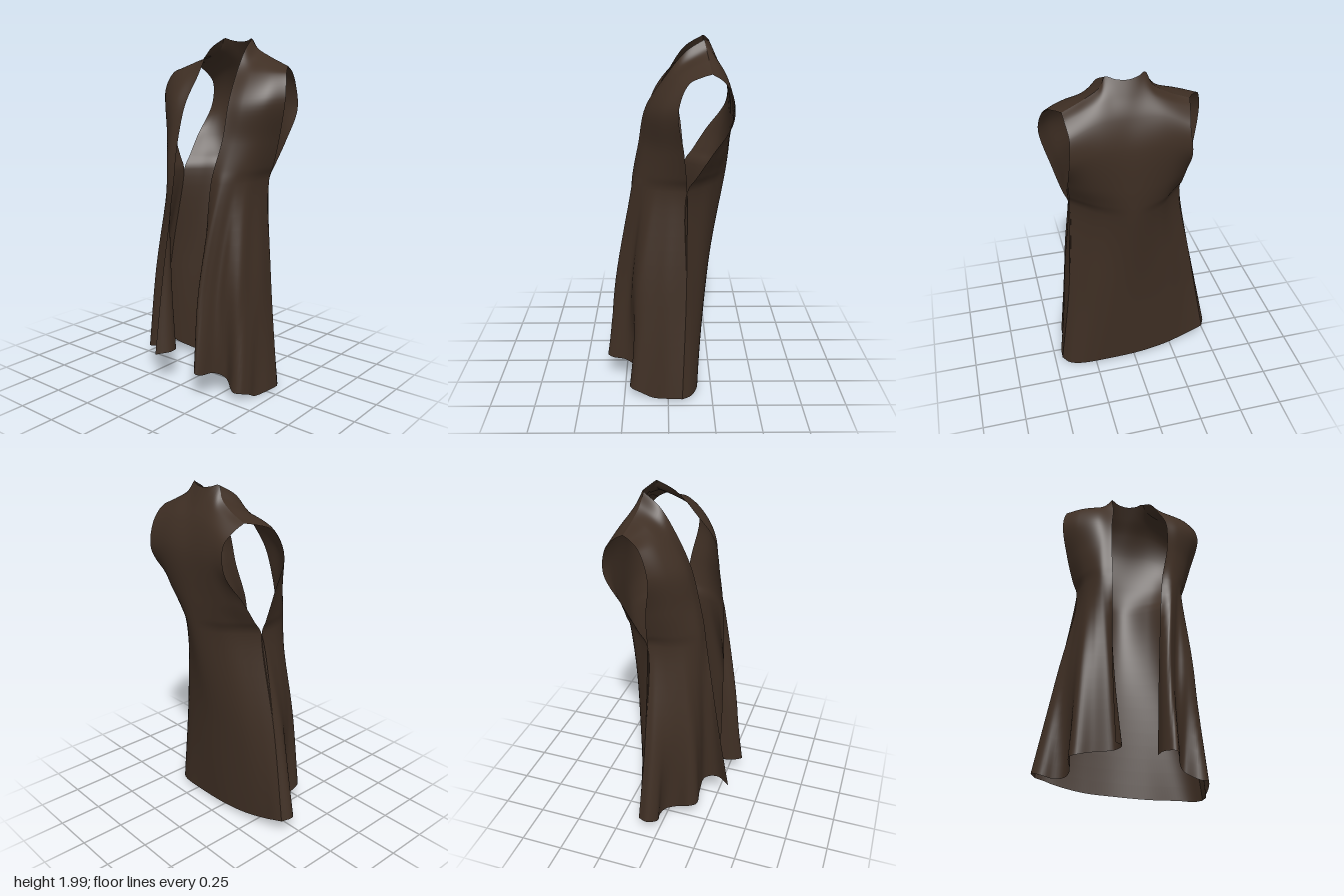
import * as THREE from 'three';

const cloth = new THREE.MeshStandardMaterial({ color: 0x3f2f24, side: THREE.DoubleSide });
cloth.name = 'dark brown cloth';

const COLS = 56, STEPS = 8;

// smooth curve through a flat list x, y, z, x, y, z ...
function curve(list) {
  const pts = [];
  for (let i = 0; i < list.length; i += 3) pts.push(new THREE.Vector3(list[i], list[i + 1], list[i + 2]));
  return new THREE.CatmullRomCurve3(pts);
}

// cloth panel draped over a stack of cross-sections, hem first, each running clockwise seen from above
function panel(name, rows) {
  const sections = rows.map(r => curve(r).getSpacedPoints(COLS));
  const down = (rows.length - 1) * STEPS, pos = [], index = [];
  for (let c = 0; c <= COLS; c++) {
    const column = new THREE.CatmullRomCurve3(sections.map(s => s[c]));
    for (const p of column.getPoints(down)) pos.push(p.x, p.y, p.z);
  }
  for (let c = 0; c < COLS; c++) {
    for (let r = 0; r < down; r++) {
      const a = c * (down + 1) + r, b = a + down + 1;
      index.push(a, a + 1, b, b, a + 1, b + 1);
    }
  }
  const geo = new THREE.BufferGeometry();
  geo.setAttribute('position', new THREE.Float32BufferAttribute(pos, 3));
  geo.setIndex(index);
  geo.computeVertexNormals();
  const mesh = new THREE.Mesh(geo, cloth);
  mesh.name = name;
  return mesh;
}

// right front, from the opening edge to the side seam and armhole
const rightSkirt = [
  [-.11, .2, .345, -.06, .205, .26, -.09, .2, .19, -.2, .185, .19, -.29, .165, .2, -.32, .16, .16,
    -.3, .11, .07, -.32, .09, .01, -.37, .085, -.01, -.44, .1, 0, -.49, .12, -.05, -.465, .11, -.11],
  [-.115, .65, .27, -.1, .65, .23, -.12, .65, .19, -.2, .65, .18, -.27, .65, .16, -.3, .65, .09,
    -.33, .65, .03, -.38, .65, -.04, -.37, .65, -.09],
];
const rightYoke = [
  [-.1, 1.22, .18, -.17, 1.22, .16, -.24, 1.22, .06, -.27, 1.22, -.1],
  [-.1, 1.3, .17, -.17, 1.3, .155, -.25, 1.3, .06, -.295, 1.3, -.095],
  [-.1, 1.45, .14, -.17, 1.45, .13, -.27, 1.45, .05, -.335, 1.45, -.08],
  [-.09, 1.63, .09, -.18, 1.65, .09, -.29, 1.66, .03, -.375, 1.67, -.05],
  [-.068, 1.78, .01, -.16, 1.79, 0, -.26, 1.8, -.04, -.345, 1.8, -.1],
  [-.06, 1.93, -.09, -.11, 1.88, -.1, -.19, 1.86, -.12, -.29, 1.83, -.17],
  [-.035, 1.995, -.19, -.07, 1.93, -.2, -.15, 1.88, -.21, -.26, 1.84, -.22],
];

// left front, from the side seam and armhole to the opening edge
const leftSkirt = [
  [.455, .02, -.08, .45, .02, 0, .42, .01, .09, .42, .04, .15, .4, .06, .21, .36, .06, .22, .28, .11, .18,
    .24, .15, .24, .22, .16, .33, .2, .17, .355, .15, .18, .3, .135, .18, .22],
  [.385, .65, -.1, .395, .65, 0, .38, .65, .08, .36, .65, .17, .3, .65, .2, .25, .65, .21,
    .22, .65, .26, .19, .65, .3, .16, .65, .27, .15, .65, .22],
];
const leftYoke = [
  [.36, 1.22, -.1, .33, 1.22, .08, .25, 1.22, .19, .185, 1.22, .2],
  [.39, 1.3, -.095, .345, 1.3, .07, .265, 1.3, .165, .2, 1.3, .19],
  [.435, 1.45, -.08, .38, 1.45, .04, .3, 1.45, .12, .23, 1.45, .16],
  [.49, 1.67, -.05, .42, 1.66, .04, .32, 1.65, .1, .24, 1.65, .12],
  [.46, 1.8, -.1, .39, 1.8, -.04, .3, 1.8, 0, .215, 1.8, .02],
  [.42, 1.83, -.17, .32, 1.86, -.12, .24, 1.88, -.1, .193, 1.93, -.09],
  [.39, 1.84, -.22, .28, 1.89, -.21, .195, 1.94, -.2, .165, 1.99, -.19],
];

// back, from the right side seam round to the left
const backSkirt = [
  [-.465, .11, -.11, -.42, .1, -.12, -.36, .08, -.125, -.2, .05, -.15, -.03, .04, -.17,
    .17, .03, -.17, .35, .03, -.165, .42, .02, -.13, .455, .02, -.08],
  [-.37, .65, -.09, -.31, .65, -.13, -.2, .65, -.185, .05, .65, -.23, .25, .65, -.2, .34, .65, -.14, .385, .65, -.1],
  [-.27, 1.22, -.1, -.2, 1.22, -.17, -.11, 1.22, -.26, .05, 1.22, -.32, .2, 1.22, -.25, .29, 1.22, -.17, .36, 1.22, -.1],
];
const backYoke = [
  [-.268, 1.3, -.15, -.21, 1.3, -.205, -.12, 1.3, -.285, .06, 1.3, -.33, .22, 1.3, -.27, .3, 1.3, -.21, .365, 1.3, -.15],
  [-.265, 1.42, -.225, -.22, 1.42, -.265, -.14, 1.42, -.31, .06, 1.42, -.34, .25, 1.42, -.305, .34, 1.42, -.255, .38, 1.42, -.225],
  [-.25, 1.6, -.345, -.1, 1.65, -.345, .06, 1.65, -.34, .22, 1.65, -.345, .385, 1.6, -.335],
  [-.235, 1.74, -.335, -.1, 1.8, -.31, .06, 1.8, -.3, .22, 1.8, -.31, .375, 1.74, -.325],
  [-.25, 1.81, -.27, -.1, 1.87, -.26, -.02, 1.9, -.25, .06, 1.9, -.255, .14, 1.9, -.25, .22, 1.88, -.26, .385, 1.81, -.27],
  [-.26, 1.84, -.22, -.15, 1.88, -.21, -.07, 1.93, -.2, -.035, 1.995, -.19, 0, 1.985, -.21, .06, 1.975, -.22,
    .12, 1.98, -.21, .165, 1.99, -.19, .195, 1.94, -.2, .28, 1.89, -.21, .39, 1.84, -.22],
];

export function createModel() {
  const vest = new THREE.Group();
  vest.name = 'sleevelessVest';
  vest.add(
    panel('rightFrontPanel', [...rightSkirt, ...rightYoke]),
    panel('leftFrontPanel', [...leftSkirt, ...leftYoke]),
    panel('backPanel', [...backSkirt, ...backYoke]),
  );
  return vest;
}
